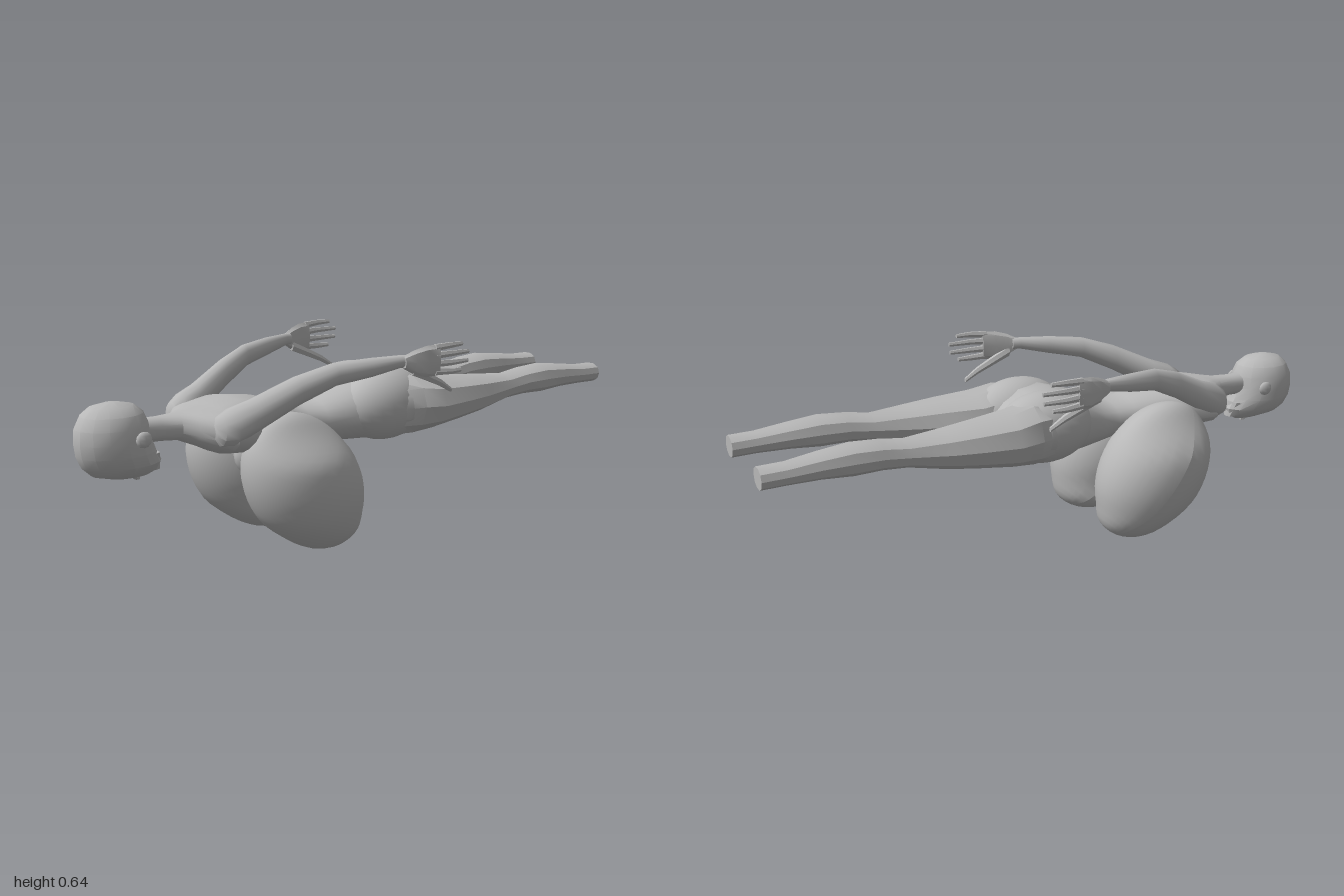
import * as THREE from 'three';
import { toCreasedNormals } from 'three/addons/utils/BufferGeometryUtils.js';

const grey = new THREE.MeshStandardMaterial({ color: 0xb8b8b8 });
grey.name = 'plain grey';

// Skin over elliptical rings [x, y, z, halfWidth, halfDepth], listed along -z (or along -y for axis 'y').
function loft(rings, sides, { axis = 'z', crease = 0.6, power = 1 } = {}) {
  const pos = [], idx = [];
  const bend = v => Math.sign(v) * Math.abs(v) ** power;
  for (const [x, y, z, a, b] of rings) {
    for (let i = 0; i < sides; i++) {
      const t = (i / sides) * Math.PI * 2;
      const u = a * bend(Math.cos(t)), v = b * bend(Math.sin(t));
      if (axis === 'z') pos.push(x + u, y + v, z);
      else pos.push(x + u, y, z - v);
    }
  }
  const last = (rings.length - 1) * sides;
  for (let r = 0; r < rings.length - 1; r++) {
    for (let i = 0; i < sides; i++) {
      const j = (i + 1) % sides, p = r * sides, q = p + sides;
      idx.push(p + i, q + i, p + j, p + j, q + i, q + j);
    }
  }
  // end caps
  for (let i = 1; i < sides - 1; i++) {
    idx.push(0, i, i + 1, last, last + i + 1, last + i);
  }
  const g = new THREE.BufferGeometry();
  g.setAttribute('position', new THREE.Float32BufferAttribute(pos, 3));
  g.setIndex(idx);
  return toCreasedNormals(g, crease);
}

function add(parent, name, geometry) {
  const m = new THREE.Mesh(geometry, grey);
  m.name = name;
  parent.add(m);
  return m;
}

function ellipsoid(parent, name, c, r, w = 24, h = 18) {
  const m = add(parent, name, new THREE.SphereGeometry(1, w, h));
  m.position.set(...c);
  m.scale.set(...r);
}

// Ring on the centre line from half width, top and bottom
const mid = ([z, w, top, low]) => [0, (top + low) / 2, z, w, (top - low) / 2];

function addTorso(g) {
  const rings = [
    [0.82, 0.036, 0.46, 0.385], [0.74, 0.036, 0.458, 0.385], [0.68, 0.05, 0.46, 0.38],
    [0.645, 0.09, 0.465, 0.365], [0.61, 0.155, 0.47, 0.35], [0.57, 0.185, 0.475, 0.33],
    [0.5, 0.175, 0.49, 0.32], [0.4, 0.135, 0.48, 0.315], [0.3, 0.095, 0.445, 0.318],
    [0.24, 0.09, 0.435, 0.318], [0.18, 0.102, 0.445, 0.308], [0.1, 0.14, 0.49, 0.3],
    [0, 0.183, 0.52, 0.295], [-0.08, 0.21, 0.51, 0.305], [-0.14, 0.215, 0.475, 0.33],
    [-0.165, 0.11, 0.45, 0.36],
  ].map(mid);
  add(g, 'torso', loft(rings, 20, { power: 0.88 }));
  ellipsoid(g, 'breastbone', [0, 0.295, 0.37], [0.055, 0.085, 0.1], 16, 12);
}

function addHead(g) {
  const rings = [
    [0, 0.519, 0.885, 0.015, 0.02], [0, 0.508, 0.885, 0.05, 0.068], [0, 0.485, 0.885, 0.077, 0.095],
    [0, 0.45, 0.886, 0.092, 0.111], [0, 0.41, 0.885, 0.096, 0.115], [0, 0.37, 0.875, 0.093, 0.12],
    [0, 0.335, 0.858, 0.08, 0.122], [0, 0.31, 0.848, 0.055, 0.105], [0, 0.292, 0.83, 0.02, 0.055],
  ];
  add(g, 'head', loft(rings, 14, { axis: 'y', crease: 0.5 }));
  add(g, 'nose', loft([[0, 0.31, 0.835, 0.018, 0.03], [0, 0.28, 0.81, 0.006, 0.008]], 6, { axis: 'y' }));
  add(g, 'chin', loft([[0, 0.36, 0.78, 0.055, 0.035], [0, 0.305, 0.758, 0.024, 0.02]], 8, { axis: 'y' }));
}

function addHand(g, s) {
  const hand = new THREE.Group();
  hand.name = s > 0 ? 'leftHand' : 'rightHand';
  g.add(hand);
  add(hand, 'palm', loft([
    [s * 0.308, 0.585, 0.055, 0.016, 0.019], [s * 0.32, 0.583, 0.02, 0.015, 0.038],
    [s * 0.33, 0.583, -0.02, 0.014, 0.049], [s * 0.337, 0.585, -0.065, 0.011, 0.048],
  ], 8, { power: 0.8 }));
  // four fingers fanned across the palm
  [0.549, 0.574, 0.6, 0.624].forEach((y, i) => {
    const tip = [-0.155, -0.185, -0.188, -0.16][i], spread = (y - 0.587) * 0.1;
    add(hand, 'finger', loft([
      [s * 0.336, y, -0.05, 0.01, 0.012], [s * 0.343, y + spread, -0.11, 0.008, 0.01],
      [s * 0.341, y + spread, tip, 0.006, 0.007],
    ], 6));
  });
  add(hand, 'thumb', loft([
    [s * 0.314, 0.56, 0.025, 0.013, 0.018], [s * 0.312, 0.53, -0.045, 0.014, 0.015],
    [s * 0.31, 0.505, -0.1, 0.011, 0.012], [s * 0.308, 0.478, -0.145, 0.007, 0.008],
  ], 6));
}

// Full chest: a tilted ellipsoid, outer side drawn in towards the shoulder, fuller low down inside and behind
function chestGeometry(s) {
  const geo = new THREE.SphereGeometry(1, 32, 24).scale(0.16, 0.243, 0.181);
  geo.rotateX(0.62).translate(0, 0.224, 0.327);
  const p = geo.attributes.position;
  for (let i = 0; i < p.count; i++) {
    const y = p.getY(i);
    const top = THREE.MathUtils.smoothstep(y, 0.29, 0.42);
    const low = 1 - THREE.MathUtils.smoothstep(y, 0.03, 0.13);
    const x = p.getX(i) * s;
    const scale = x < 0 ? 1 + 0.28 * low : 1 - 0.33 * top;
    p.setX(i, s * (0.158 + x * scale));
    p.setZ(i, p.getZ(i) - 0.02 * low);
  }
  geo.computeVertexNormals();
  return geo;
}

function addSide(g, s) {
  const side = s > 0 ? 'left' : 'right';
  // leg, cut flat at the ankle
  add(g, side + 'Leg', loft([
    [s * 0.11, 0.405, -0.04, 0.08, 0.095], [s * 0.12, 0.41, -0.12, 0.108, 0.1],
    [s * 0.126, 0.406, -0.2, 0.113, 0.088], [s * 0.138, 0.41, -0.32, 0.095, 0.074],
    [s * 0.143, 0.413, -0.42, 0.078, 0.062], [s * 0.145, 0.421, -0.55, 0.056, 0.043],
    [s * 0.149, 0.43, -0.63, 0.055, 0.046], [s * 0.152, 0.432, -0.72, 0.055, 0.05],
    [s * 0.154, 0.43, -0.82, 0.05, 0.041], [s * 0.158, 0.424, -0.92, 0.042, 0.034],
    [s * 0.158, 0.422, -1, 0.042, 0.034],
  ], 10, { crease: 0.6, power: 0.95 }));
  // arm swept back and up from a rounded shoulder
  add(g, side + 'Arm', loft([
    [s * 0.13, 0.415, 0.622, 0.018, 0.022], [s * 0.135, 0.418, 0.61, 0.04, 0.045],
    [s * 0.143, 0.427, 0.575, 0.054, 0.058], [s * 0.16, 0.455, 0.51, 0.046, 0.052],
    [s * 0.2, 0.52, 0.38, 0.037, 0.045], [s * 0.238, 0.562, 0.27, 0.031, 0.036],
    [s * 0.275, 0.576, 0.16, 0.027, 0.03], [s * 0.3, 0.588, 0.06, 0.018, 0.02],
    [s * 0.31, 0.586, 0.035, 0.017, 0.02],
  ], 12, { crease: 0.8 }));
  addHand(g, s);
  ellipsoid(g, side + 'Hip', [s * 0.092, 0.412, -0.05], [0.11, 0.117, 0.165]);
  add(g, side + 'Chest', chestGeometry(s));
  ellipsoid(g, side + 'Ear', [s * 0.094, 0.418, 0.835], [0.013, 0.024, 0.026], 8, 6);
}

export function createModel() {
  const g = new THREE.Group();
  g.name = 'recliningFigure';
  addTorso(g);
  addHead(g);
  for (const s of [1, -1]) addSide(g, s);
  return g;
}
